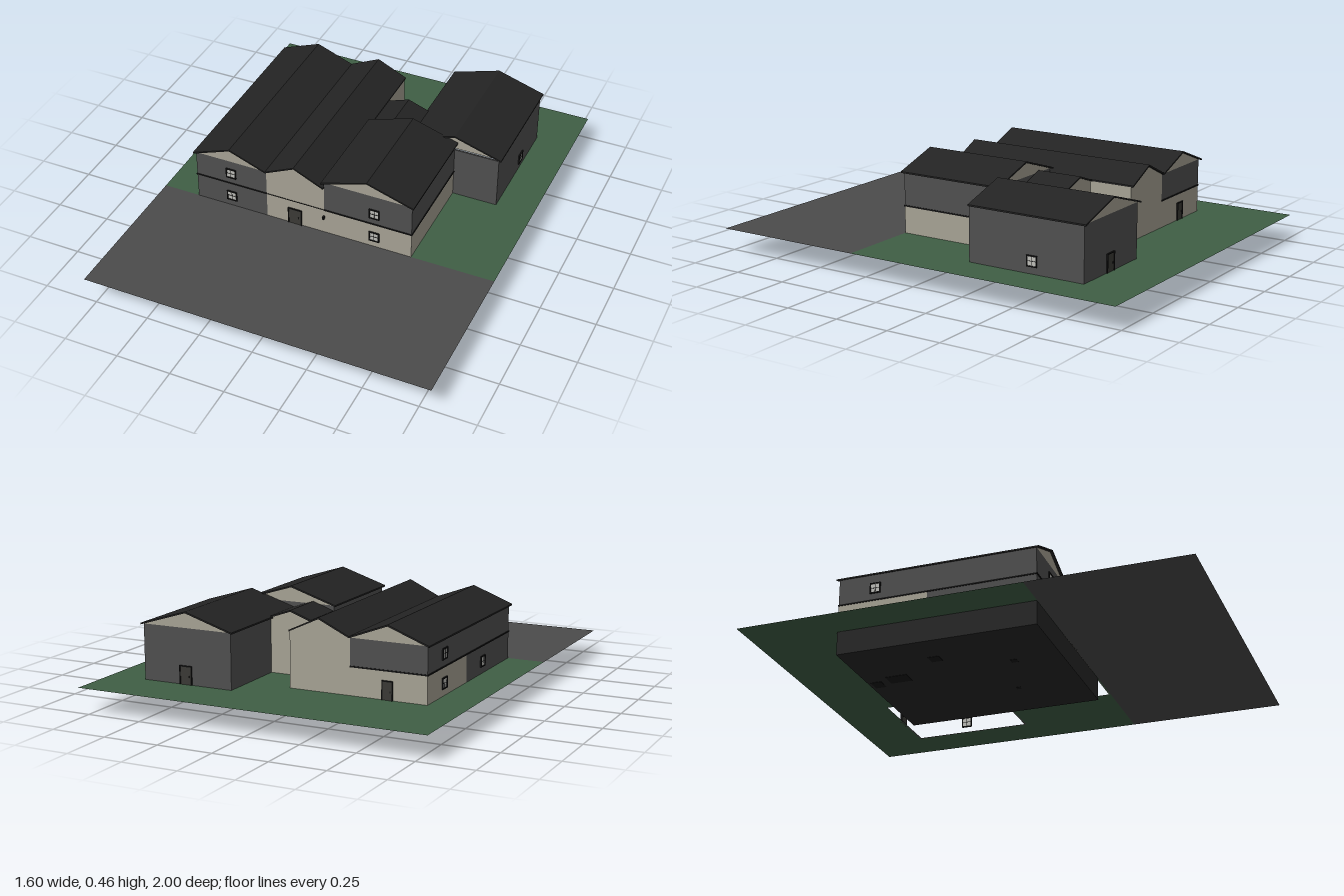
import * as THREE from 'three';

const mat = (name, color, side = THREE.FrontSide) => {
  const m = new THREE.MeshStandardMaterial({ color, side });
  m.name = name;
  return m;
};

export function createModel() {
  const model = new THREE.Group();
  const M = {
    roof: mat('roof charcoal', 0x232323),
    trim: mat('trim black', 0x151515),
    grey: mat('wall grey', 0x4f4f4f),
    beige: mat('wall beige', 0xa6a294),
    lawn: mat('lawn green', 0x3f5f45, THREE.DoubleSide),
    paving: mat('paving grey', 0x4b4b4b, THREE.DoubleSide),
    base: mat('basement charcoal', 0x272727),
    door: mat('door brown grey', 0x3b3a36),
    pane: mat('window pale', 0xbdbdb8),
  };
  const G = 0.11, FLOOR = 0.235, EAVE = 0.355;

  const add = (name, geo, material, parent = model) => {
    const m = new THREE.Mesh(geo, material);
    m.name = name;
    parent.add(m);
    return m;
  };
  const box = (name, material, w, h, d, x, y, z, parent = model) => {
    const m = add(name, new THREE.BoxGeometry(w, h, d), material, parent);
    m.position.set(x, y, z);
    return m;
  };
  const rect = (x0, x1, z0, z1, Type = THREE.Shape) => new Type([
    new THREE.Vector2(x0, -z0), new THREE.Vector2(x1, -z0),
    new THREE.Vector2(x1, -z1), new THREE.Vector2(x0, -z1),
  ]);

  // Hollow rectangle of walls between two heights
  const ring = (name, material, x0, x1, z0, z1, y0, y1, t = 0.008) => {
    const s = rect(x0, x1, z0, z1);
    s.holes.push(rect(x0 + t, x1 - t, z0 + t, z1 - t, THREE.Path));
    const g = new THREE.ExtrudeGeometry(s, { depth: y1 - y0, bevelEnabled: false });
    add(name, g.rotateX(-Math.PI / 2).translate(0, y0, 0), material);
  };

  // Gable prism with a thin roof over it; overhangs on the left and right eaves
  const gableRoof = (name, x0, x1, z0, z1, eave, rise, o0 = 0.01, o1 = 0.01, oz = 0.012) => {
    const mid = (x0 + x1) / 2, slope = rise / (mid - x0), t = 0.007;
    const prism = (points, a, b) => new THREE.ExtrudeGeometry(
      new THREE.Shape(points.map(([x, y]) => new THREE.Vector2(x, y))),
      { depth: b - a, bevelEnabled: false }).translate(0, 0, a);
    add(name + 'Gable', prism([[x0, eave], [x1, eave], [mid, eave + rise]], z0, z1), M.beige);
    const l = eave - slope * o0, r = eave - slope * o1;
    add(name + 'Roof', prism([
      [x0 - o0, l], [mid, eave + rise], [x1 + o1, r],
      [x1 + o1, r + t], [mid, eave + rise + t], [x0 - o0, l + t],
    ], z0 - oz, z1 + oz), M.roof);
  };

  // Ground with openings under the hollow buildings
  const lawn = rect(-0.8, 0.8, -1, 0.29);
  lawn.holes.push(rect(0.205, 0.62, -0.75, -0.205, THREE.Path));
  lawn.holes.push(rect(0.21, 0.41, -0.195, 0.285, THREE.Path));
  add('lawn', new THREE.ShapeGeometry(lawn).rotateX(-Math.PI / 2).translate(0, G, 0), M.lawn);
  add('paving', new THREE.ShapeGeometry(rect(-0.8, 0.8, 0.29, 1)).rotateX(-Math.PI / 2)
    .translate(0, G, 0), M.paving);

  // Basement
  box('basement', M.base, 0.837, G - 0.003, 0.9, -0.21, 0.0015 + (G - 0.003) / 2, -0.16);
  for (const [x, z, w, d] of [[-0.31, -0.46, 0.07, 0.1], [-0.45, -0.23, 0.05, 0.05],
    [-0.28, -0.57, 0.06, 0.05], [-0.32, 0.08, 0.03, 0.03], [-0.04, 0, 0.02, 0.02]])
    box('basementFooting', M.trim, w, 0.003, d, x, 0.0015, z);

  // Left wing, centre wing and right wing
  ring('leftWingLowerFront', M.grey, -0.628, -0.28, -0.2, 0.29, G, FLOOR);
  ring('leftWingLowerRear', M.beige, -0.628, -0.28, -0.61, -0.2, G, FLOOR);
  ring('leftWingUpper', M.grey, -0.628, -0.28, -0.61, 0.29, FLOOR, EAVE);
  ring('centreWingWalls', M.beige, -0.28, 0, -0.61, 0.29, G, EAVE);
  ring('rightWingLower', M.beige, 0, 0.415, -0.2, 0.29, G, FLOOR);
  ring('rightWingUpper', M.grey, 0, 0.415, -0.2, 0.29, FLOOR, 0.385);
  box('rightWingUpperFloor', M.beige, 0.4, 0.006, 0.475, 0.2075, FLOOR, 0.045);
  gableRoof('leftWing', -0.628, -0.28, -0.61, 0.29, EAVE, 0.066, 0.01, 0);
  gableRoof('centreWing', -0.28, 0, -0.61, 0.29, EAVE, 0.066, 0, 0);
  gableRoof('rightWing', 0, 0.415, -0.2, 0.29, 0.385, 0.066, 0.01, 0.01);

  // Dark line between the storeys
  ring('leftStoreyBand', M.trim, -0.631, -0.28, -0.613, 0.293, 0.231, 0.237);
  ring('rightStoreyBand', M.trim, 0, 0.418, -0.203, 0.293, 0.231, 0.237);
  box('centreStoreyBand', M.trim, 0.28, 0.003, 0.004, -0.14, 0.234, 0.29);

  // Link and rear building
  ring('linkWalls', M.beige, 0.002, 0.2, -0.41, -0.2, G, EAVE);
  gableRoof('link', 0.002, 0.2, -0.41, -0.212, EAVE, 0.035, 0, 0, 0.008);
  ring('rearBuildingWalls', M.grey, 0.2, 0.625, -0.755, -0.2, G, EAVE);
  gableRoof('rearBuilding', 0.2, 0.625, -0.755, -0.212, EAVE, 0.066);

  // Windows and doors face +z before turning
  const windowAt = (x, y, z, turn = 0) => {
    const g = new THREE.Group(), s = 0.044;
    g.name = 'window';
    box('pane', M.pane, s, s, 0.004, 0, 0, 0.001, g);
    for (const k of [-1, 1]) {
      box('frameSide', M.trim, 0.005, s + 0.005, 0.008, k * s / 2, 0, 0.002, g);
      box('frameRail', M.trim, s + 0.005, 0.005, 0.008, 0, k * s / 2, 0.002, g);
    }
    box('mullion', M.trim, 0.002, s, 0.006, 0, 0, 0.001, g);
    box('crossBar', M.trim, s, 0.002, 0.006, 0, 0, 0.001, g);
    g.position.set(x, y, z);
    g.rotation.y = turn;
    model.add(g);
  };
  const doorAt = (x, z, w, turn = 0) => {
    const g = new THREE.Group(), h = 0.08;
    g.name = 'door';
    box('doorLeaf', M.door, w, h, 0.004, 0, h / 2, 0.001, g);
    for (const k of [-1, 1]) box('jamb', M.trim, 0.005, h, 0.008, k * w / 2, h / 2, 0.002, g);
    box('lintel', M.trim, w + 0.005, 0.005, 0.008, 0, h, 0.002, g);
    box('handle', M.trim, 0.004, 0.008, 0.008, w * 0.3, h * 0.45, 0.002, g);
    g.position.set(x, G, z);
    g.rotation.y = turn;
    model.add(g);
  };
  for (const y of [0.165, 0.29]) {
    windowAt(-0.455, y, 0.29);
    windowAt(0.24, y, 0.29);
    windowAt(-0.628, y, -0.44, -Math.PI / 2);
  }
  windowAt(-0.628, 0.165, -0.02, -Math.PI / 2);
  windowAt(0.625, 0.165, -0.51, Math.PI / 2);
  doorAt(-0.142, 0.29, 0.062);
  doorAt(-0.45, -0.61, 0.045, Math.PI);
  doorAt(0.42, -0.755, 0.055, Math.PI);
  box('wallLamp', M.trim, 0.008, 0.014, 0.014, 0, 0.195, 0.297);

  // Stools and a globe inside
  const stool = (x, z) => {
    const g = new THREE.Group();
    g.name = 'stool';
    add('seat', new THREE.CylinderGeometry(0.02, 0.02, 0.006, 12), M.trim, g).position.y = 0.035;
    for (const a of [-1, 1]) for (const b of [-1, 1])
      box('leg', M.trim, 0.004, 0.033, 0.004, a * 0.012, 0.0165, b * 0.012, g);
    g.position.set(x, G, z);
    model.add(g);
  };
  for (const z of [0.22, 0.08, -0.06, -0.15]) stool(0.33, z);
  stool(0.27, -0.69);
  add('globe', new THREE.SphereGeometry(0.025, 16, 12), M.pane).position.set(0.33, G + 0.03, 0.16);

  return model;
}
